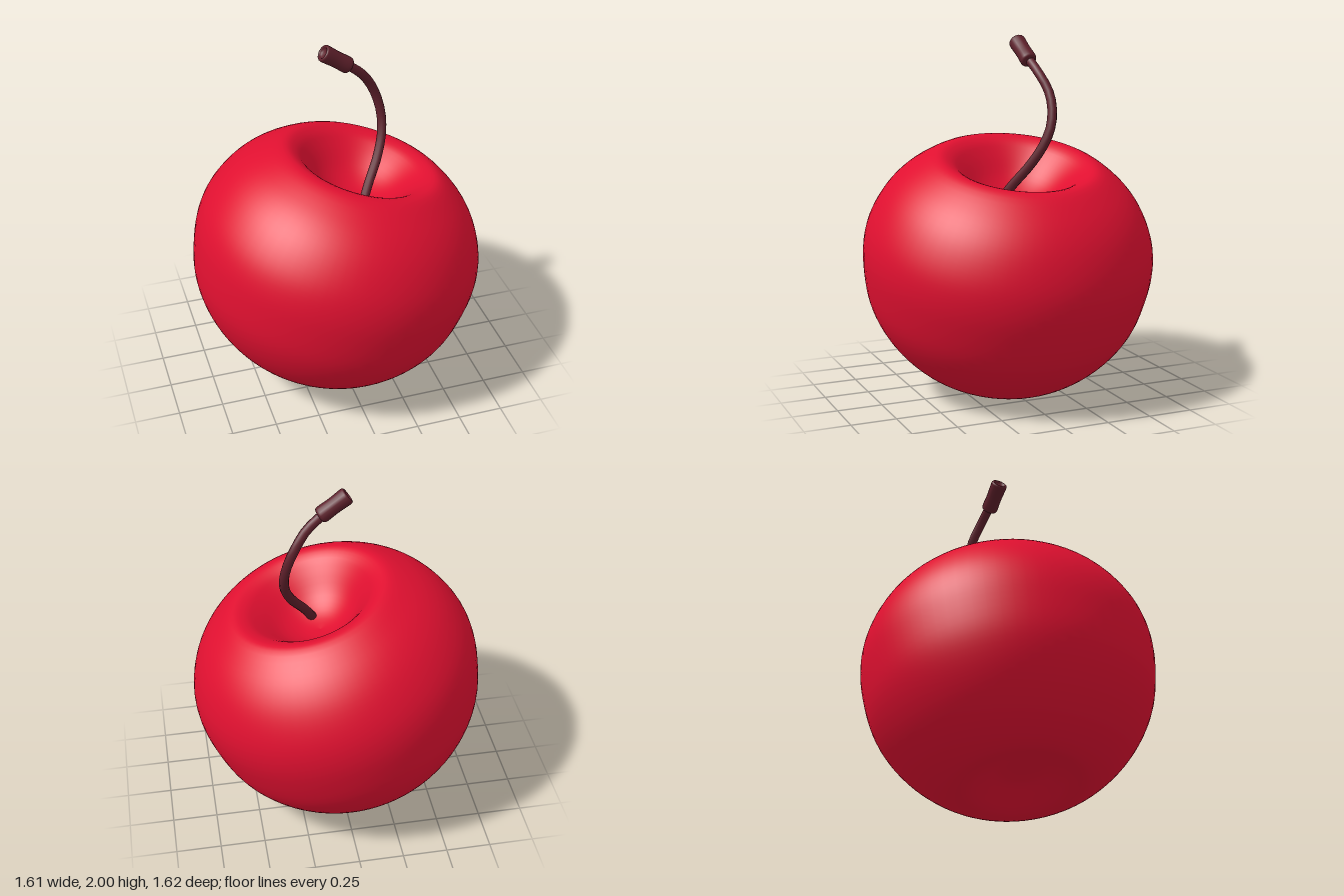
import * as THREE from 'three';

const v3 = (p) => new THREE.Vector3(...p);

// Smooth solid of revolution from a few [radius, height] points
function lathe(points, steps, sides) {
  const profile = new THREE.SplineCurve(points.map(([r, h]) => new THREE.Vector2(r, h)))
    .getPoints(steps);
  profile.forEach((p) => { p.x = Math.max(0, p.x); });
  return new THREE.LatheGeometry(profile, sides);
}

export function createModel() {
  const model = new THREE.Group();
  model.name = 'cherry';

  const red = new THREE.MeshStandardMaterial({ color: 0xe01030 });
  red.name = 'cherry red';
  const brown = new THREE.MeshStandardMaterial({ color: 0x5e202b });
  brown.name = 'stem brown';

  // Fruit: shallow dimple below, full belly, deep dimple on top, leaning to +x
  const fruit = new THREE.Mesh(lathe([
    [0, 0.08], [0.1, 0.075], [0.2, 0.035], [0.27, 0.008], [0.335, 0.002], [0.42, 0.037],
    [0.525, 0.108], [0.63, 0.212], [0.715, 0.335], [0.77, 0.465], [0.801, 0.63],
    [0.807, 0.76], [0.787, 0.88], [0.737, 1.0], [0.667, 1.105], [0.572, 1.197],
    [0.45, 1.274], [0.37, 1.262], [0.3, 1.205], [0.2, 1.105], [0.1, 1.048], [0, 1.03],
  ], 84, 72), red);
  fruit.name = 'fruit';
  fruit.position.set(-0.18, 0.09, 0);
  fruit.rotation.z = -0.265;
  model.add(fruit);

  // Curved stem rising out of the dimple
  const path = new THREE.CatmullRomCurve3([
    [0.1, 1.06, 0.13], [0.175, 1.2, 0.05], [0.245, 1.31, -0.02], [0.29, 1.42, -0.08],
    [0.3, 1.52, -0.12], [0.28, 1.62, -0.138], [0.24, 1.71, -0.135],
    [0.175, 1.8, -0.108], [0.07, 1.885, -0.085],
  ].map(v3));
  const stem = new THREE.Mesh(new THREE.TubeGeometry(path, 20, 0.026, 10), brown);
  stem.name = 'stem';
  model.add(stem);

  // Thick stem tip with a slightly hollow end
  const start = v3([0.105, 1.862, -0.085]);
  const axis = v3([-0.045, 1.966, -0.075]).sub(start);
  const len = axis.length();
  const tip = new THREE.Mesh(lathe([
    [0, 0], [0.03, 0], [0.043, 0.008], [0.046, 0.03], [0.044, len * 0.5],
    [0.047, len - 0.02], [0.044, len - 0.003], [0.034, len], [0.024, len - 0.012], [0, len - 0.018],
  ], 36, 16), brown);
  tip.name = 'stemTip';
  tip.position.copy(start);
  tip.quaternion.setFromUnitVectors(new THREE.Vector3(0, 1, 0), axis.normalize());
  model.add(tip);

  return model;
}
